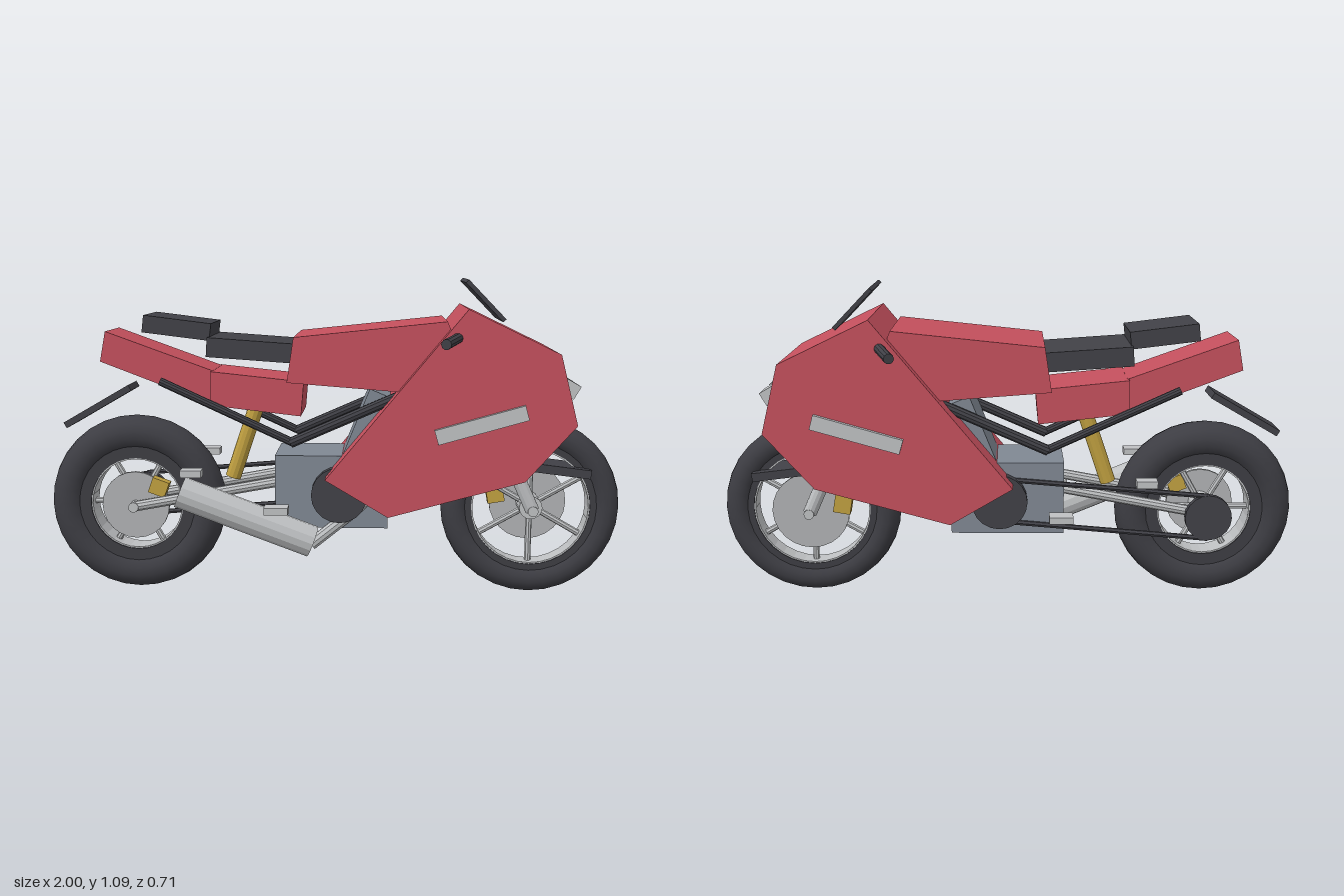
import * as THREE from 'three';

const paint = (color) => new THREE.MeshStandardMaterial({ color });

export function createModel() {
  const model = new THREE.Group();
  model.name = 'motorcycle';
  const red = paint(0xc4505d), dark = paint(0x414147), rubber = paint(0x3d3d43);
  const silver = paint(0xbfc1c3), steel = paint(0xb0b2b4), gold = paint(0xc0a040), engineGrey = paint(0x808893);
  red.name = 'red paint'; dark.name = 'dark plastic'; rubber.name = 'tyre rubber';
  silver.name = 'silver metal'; steel.name = 'steel'; gold.name = 'gold'; engineGrey.name = 'engine grey';

  const add = (name, geo, mat, parent = model) => {
    const m = new THREE.Mesh(geo, mat);
    m.name = name;
    parent.add(m);
    return m;
  };
  const flat = (geo) => {
    const g = geo.toNonIndexed();
    g.computeVertexNormals();
    return g;
  };
  // box: position, size, tilt about z in degrees
  const box = (name, p, s, mat, tilt = 0) => {
    const m = add(name, new THREE.BoxGeometry(...s), mat);
    m.position.set(...p);
    m.rotation.z = THREE.MathUtils.degToRad(tilt);
    return m;
  };
  // straight round bar between two points
  const rod = (name, a, b, r, mat, parent = model, sides = 10) => {
    const A = new THREE.Vector3(...a), B = new THREE.Vector3(...b);
    const m = add(name, flat(new THREE.CylinderGeometry(r, r, A.distanceTo(B), sides)), mat, parent);
    m.position.copy(A).add(B).multiplyScalar(0.5);
    m.quaternion.setFromUnitVectors(new THREE.Vector3(0, 1, 0), B.sub(A).normalize());
    return m;
  };
  // side profile extruded symmetrically across z
  const slab = (name, pts, half, mat) => {
    const shape = new THREE.Shape(pts.map(([x, y]) => new THREE.Vector2(x, y)));
    const g = new THREE.ExtrudeGeometry(shape, { depth: half * 2, bevelEnabled: false });
    return add(name, g.translate(0, 0, -half), mat);
  };

  // Wheels
  const wheel = (name, x, tube, hole, phase) => {
    const g = new THREE.Group();
    g.name = name;
    g.position.set(x, 0.314, 0);
    model.add(g);
    const outer = 0.31, R = outer - tube, w = tube * 0.75;
    add('tyre', new THREE.TorusGeometry(R, tube, 14, 32), rubber, g);
    const ring = (n, r0, r1, half, mat) => {
      const s = new THREE.Shape().absarc(0, 0, r1, 0, Math.PI * 2);
      s.holes.push(new THREE.Path().absarc(0, 0, r0, 0, Math.PI * 2, true));
      const e = new THREE.ExtrudeGeometry(s, { depth: half * 2, bevelEnabled: false, curveSegments: 16 });
      add(n, e.translate(0, 0, -half), mat, g);
    };
    ring('rimWall', hole + 0.005, R, w, rubber);
    ring('rimLining', hole, hole + 0.006, w * 0.9, silver);
    for (let i = 0; i < 6; i++) {
      const a = phase + i * Math.PI / 3;
      rod('spoke', [0, 0, 0], [Math.cos(a) * (hole + 0.01), Math.sin(a) * (hole + 0.01), 0], 0.011, silver, g, 8);
    }
    rod('hub', [0, 0, -0.05], [0, 0, 0.05], 0.04, silver, g, 16);
    rod('axle', [0, 0, -0.11], [0, 0, 0.11], 0.018, silver, g);
    return g;
  };
  const rear = wheel('rearWheel', -0.69, 0.064, 0.158, 0);
  const front = wheel('frontWheel', 0.685, 0.05, 0.2, Math.PI / 6);

  // Brakes
  rod('rearBrakeDisc', [0, 0, 0.055], [0, 0, 0.067], 0.118, steel, rear, 24);
  rod('frontBrakeDisc', [0, 0, -0.064], [0, 0, -0.052], 0.135, steel, front, 24);
  box('rearCaliper', [-0.605, 0.38, 0.065], [0.06, 0.055, 0.04], gold, -20);
  box('frontCaliper', [0.57, 0.345, -0.062], [0.06, 0.07, 0.04], gold, 10);

  // Final drive on the -z side
  rod('rearSprocket', [0, 0, -0.142], [0, 0, -0.12], 0.08, dark, rear, 20);
  rod('chainTop', [-0.69, 0.39, -0.132], [0.02, 0.45, -0.132], 0.009, dark, model, 6);
  rod('chainBottom', [-0.69, 0.238, -0.132], [0.02, 0.3, -0.132], 0.009, dark, model, 6);

  // Bodywork
  slab('fairing', [[0.445, 1.005], [-0.02, 0.44], [0.19, 0.315], [0.64, 0.44], [0.805, 0.628], [0.745, 0.86]], 0.22, red);
  slab('fuelTank', [[-0.125, 0.91], [-0.148, 0.76], [0.24, 0.73], [0.405, 0.9], [0.38, 0.963]], 0.18, red);
  slab('seatBase', [[-0.41, 0.79], [-0.41, 0.675], [-0.105, 0.64], [-0.095, 0.757]], 0.125, red);
  slab('tail', [[-0.77, 0.922], [-0.79, 0.82], [-0.41, 0.675], [-0.405, 0.79]], 0.1, red);
  box('riderSeat', [-0.275, 0.863, 0], [0.29, 0.065, 0.28], dark, -4);
  box('passengerSeat', [-0.525, 0.935, 0], [0.23, 0.058, 0.22], dark, -7);
  box('windscreen', [0.507, 1.028, 0], [0.18, 0.014, 0.27], dark, -46);
  box('rearFender', [-0.815, 0.66, 0], [0.265, 0.022, 0.13], dark, 30);
  box('frontFender', [0.765, 0.45, 0], [0.24, 0.03, 0.14], dark, -7);

  // Engine and shock
  box('engineBlock', [-0.002, 0.38, 0], [0.385, 0.25, 0.25], engineGrey);
  box('engineCylinders', [0.155, 0.575, 0], [0.17, 0.27, 0.22], engineGrey, -22);
  rod('clutchCovers', [0.025, 0.375, -0.16], [0.025, 0.375, 0.16], 0.095, dark, model, 20);
  rod('rearShock', [-0.355, 0.405, 0], [-0.265, 0.67, 0], 0.027, gold, model, 12);

  // Exhaust on the +z side
  rod('muffler', [-0.51, 0.39, 0.19], [-0.065, 0.215, 0.16], 0.054, silver, model, 14);
  rod('exhaustPipe', [-0.07, 0.205, 0.16], [0.11, 0.34, 0.11], 0.021, silver);

  // Parts mirrored across z
  for (const s of [1, -1]) {
    rod('frontFork', [0.685, 0.314, s * 0.085], [0.42, 0.9, s * 0.085], 0.024, silver, model, 12);
    rod('swingarm', [-0.69, 0.314, s * 0.09], [-0.12, 0.42, s * 0.09], 0.018, silver);
    rod('subframe', [-0.58, 0.757, s * 0.13], [-0.13, 0.55, s * 0.13], 0.014, dark);
    rod('mainFrame', [-0.14, 0.55, s * 0.13], [0.36, 0.77, s * 0.13], 0.018, dark);
    rod('handlebar', [0.44, 0.918, s * 0.13], [0.366, 0.902, s * 0.35], 0.017, dark);
    box('sideStripe', [0.493, 0.63, s * 0.227], [0.305, 0.05, 0.018], silver, 16);
    box('headlight', [0.793, 0.737, s * 0.077], [0.055, 0.05, 0.095], silver, -30);
    box('riderPeg', [-0.182, 0.337, s * 0.214], [0.08, 0.024, 0.058], silver);
    box('passengerPeg', [-0.465, 0.46, s * 0.214], [0.07, 0.024, 0.048], silver);
  }
  return model;
}
